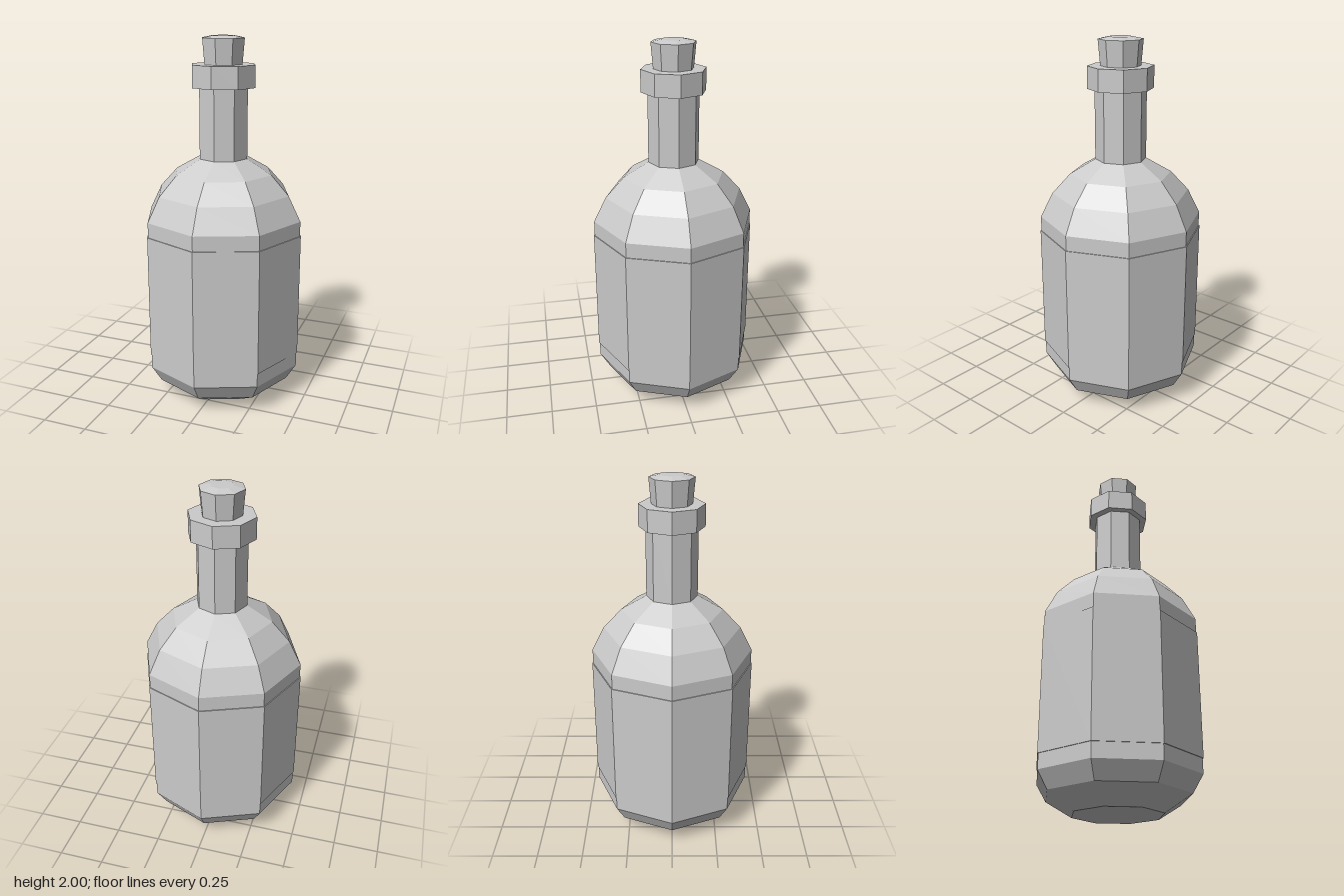
import * as THREE from 'three';

const SIDES = 8;

export function createModel() {
  const bottle = new THREE.Group();
  bottle.name = 'bottle';
  const material = new THREE.MeshStandardMaterial({ color: 0xcccccc, flatShading: true });

  // Spins a [radius, height] profile, listed from bottom to top, into an octagonal part
  function addTurned(name, profile) {
    const points = profile.map(([r, y]) => new THREE.Vector2(r, y));
    const mesh = new THREE.Mesh(new THREE.LatheGeometry(points, SIDES), material);
    mesh.name = name;
    bottle.add(mesh);
    return mesh;
  }

  // Rounded body with flat base and domed shoulders, running up into the neck
  addTurned('body', [
    [0, 0], [0.243, 0], [0.388, 0.088], [0.443, 0.18], [0.443, 1.035],
    [0.375, 1.17], [0.276, 1.277], [0.138, 1.357],
  ]);
  addTurned('neck', [[0.138, 1.357], [0.138, 1.74]]);

  // Label band wrapped just outside the body
  addTurned('label', [[0.442, 0.26], [0.448, 0.26], [0.448, 0.953], [0.442, 0.953]]);

  // Collar around the mouth, very slightly narrower front to back
  const collar = addTurned('collar', [[0, 1.735], [0.179, 1.735], [0.179, 1.853], [0, 1.853]]);
  collar.scale.z = 0.97;

  // Flared stopper with a shallow crown
  addTurned('stopper', [[0, 1.84], [0.106, 1.84], [0.119, 1.988], [0.06, 2], [0, 2]]);

  return bottle;
}
